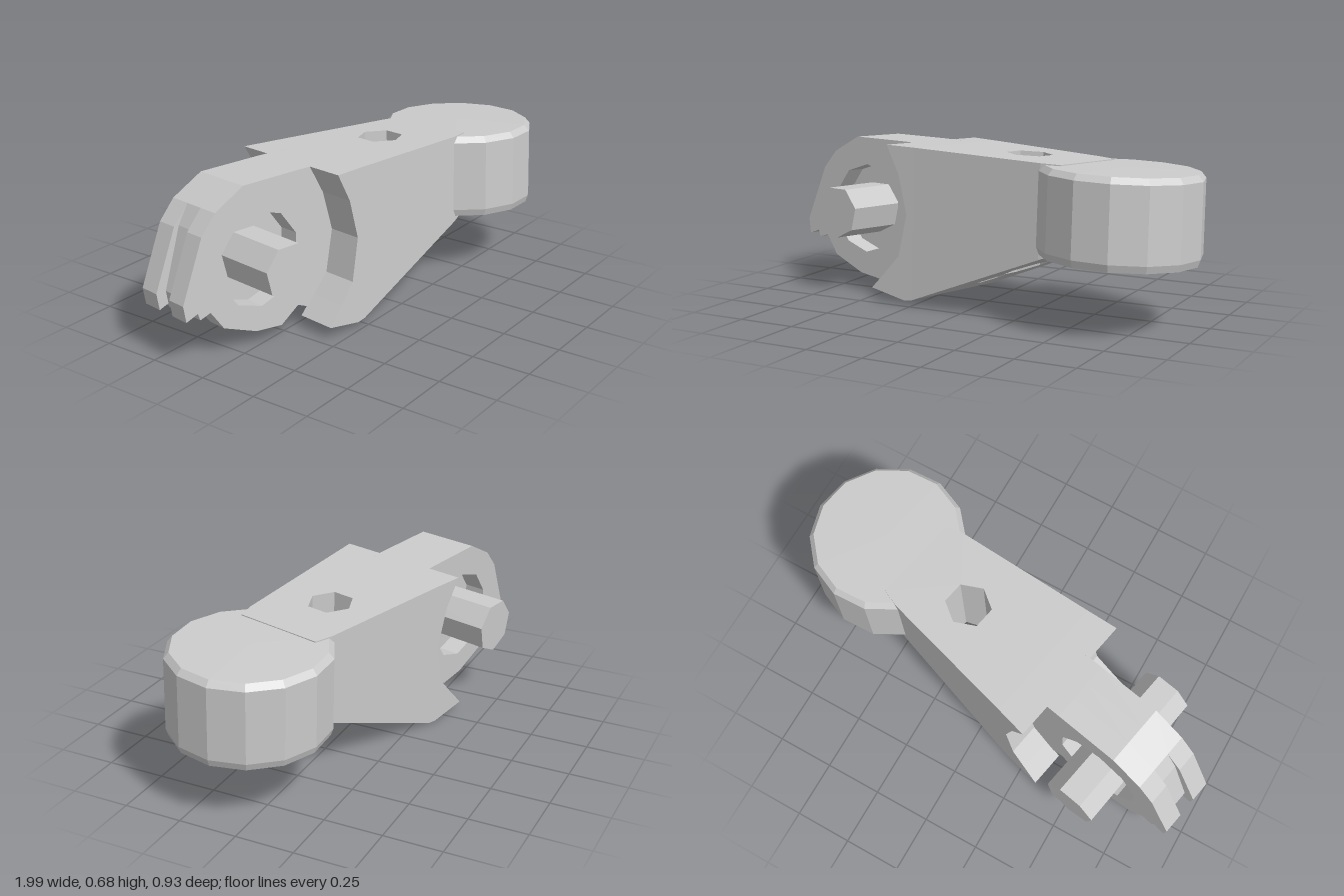
import * as THREE from 'three';

const mat = new THREE.MeshStandardMaterial({ color: 0xcccccc, flatShading: true });
const lerp = THREE.MathUtils.lerp;

// Arm outline rules along its length u
const topY = u => 0.67 - 0.03 * (u + 0.2);
const bottomY = u => 0.015 + 0.4 * (u + 0.2);
const halfWidth = u => 0.3 - 0.115 * (u + 0.4);

const toShape = pts => new THREE.Shape(pts.map(p => new THREE.Vector2(...p)));
const circle = (cx, cy, rx, ry, n) => new THREE.Path(Array.from({ length: n }, (_, i) => {
  const a = (i + 0.5) / n * Math.PI * 2;
  return new THREE.Vector2(cx + rx * Math.cos(a), cy + ry * Math.sin(a));
}));

function moveVertices(geo, rule) {
  const p = geo.attributes.position, v = new THREE.Vector3();
  for (let i = 0; i < p.count; i++) {
    v.fromBufferAttribute(p, i);
    rule(v);
    p.setXYZ(i, v.x, v.y, v.z);
  }
  geo.computeVertexNormals();
  return geo;
}

// Extrude of unit depth, its z then set by a rule or a range
const slab = (shape, z0, z1) => moveVertices(
  new THREE.ExtrudeGeometry(shape, { depth: 1, bevelEnabled: false, curveSegments: 6 }),
  v => { v.z = lerp(z0(v.x), z1(v.x), v.z); });

export function createModel() {
  const model = new THREE.Group();
  const arm = new THREE.Group();
  arm.name = 'linkArm';
  arm.rotation.set(-0.035, -0.2, 0, 'YXZ');
  model.add(arm);
  const add = (name, geo) => {
    const m = new THREE.Mesh(geo, mat);
    m.name = name;
    arm.add(m);
    return m;
  };

  // Tapered arm in two layers: a hole runs through both, a slot opens only below
  const plan = [[-0.2, -halfWidth(-0.2)], [0.42, -0.212], [0.5, -0.19], [0.5, 0.19],
    [0.42, 0.212], [-0.2, halfWidth(-0.2)]];
  const split = 0.36;
  const armLayer = (name, yTop, yBottom, slot) => {
    const s = toShape(plan);
    s.holes.push(circle(0.19, -0.018, 0.1, 0.095, 6));
    if (slot) s.holes.push(circle(0.015, 0.0, 0.075, 0.04, 6));
    const g = new THREE.ExtrudeGeometry(s, { depth: 1, bevelEnabled: false });
    g.rotateX(Math.PI / 2);
    add(name, moveVertices(g, v => { v.y = v.y > -0.5 ? yTop(v.x) : yBottom(v.x); }));
  };
  armLayer('armUpper', topY, () => split, false);
  armLayer('armLower', () => split, bottomY, true);

  // Round head with a small top chamfer
  const head = new THREE.LatheGeometry([[0, 0.287], [0.325, 0.28], [0.335, 0.31],
    [0.333, 0.615], [0.312, 0.64], [0, 0.643]].map(p => new THREE.Vector2(...p)), 14);
  head.translate(0.665, 0, 0);
  add('roundHead', moveVertices(head, v => { v.y -= 0.025 * (v.x - 0.665); }));

  // Fork cheeks with a concave edge around the knuckle
  const cheek = toShape([[-0.2, 0.67], [-0.34, 0.673], [-0.275, 0.55], [-0.232, 0.38],
    [-0.27, 0.2], [-0.34, 0.12], [-0.41, 0.045], [-0.24, 0.01], [-0.2, 0.015]]);
  add('leftCheek', slab(cheek, () => 0.12, halfWidth));
  add('rightCheek', slab(cheek, u => -halfWidth(u), () => -0.14));

  // Knuckle: toothed outer plates with a recess, and a solid core set back at the rim
  const knuckle = inset => toShape([[-0.2, 0.67], [-0.4, 0.674], [-0.68, 0.675],
    [-0.82, 0.6], [-0.89 + inset / 2, 0.52], [-0.995 + inset, 0.27], [-0.985 + inset, 0.2],
    [-0.93 + inset, 0.22], [-0.92 + inset, 0.19], [-0.87 + inset, 0.205],
    [-0.81, 0.12 + inset / 2], [-0.65, 0.055], [-0.52, 0.04], [-0.43, 0.1],
    [-0.36, 0.07], [-0.2, 0.015]]);
  for (const [name, z0, z1] of [['leftKnucklePlate', 0.035, 0.125], ['rightKnucklePlate', -0.143, -0.05]]) {
    const s = knuckle(0);
    s.holes.push(circle(-0.617, 0.355, 0.2, 0.2, 10));
    add(name, slab(s, () => z0, () => z1));
  }
  add('knuckleCore', slab(knuckle(0.045), () => -0.05, () => 0.035));

  // Faceted pivot pin through the knuckle
  const pin = new THREE.CylinderGeometry(0.115, 0.12, 0.64, 7);
  pin.rotateX(Math.PI / 2);
  add('pivotPin', pin).position.set(-0.62, 0.355, -0.01);

  return model;
}
